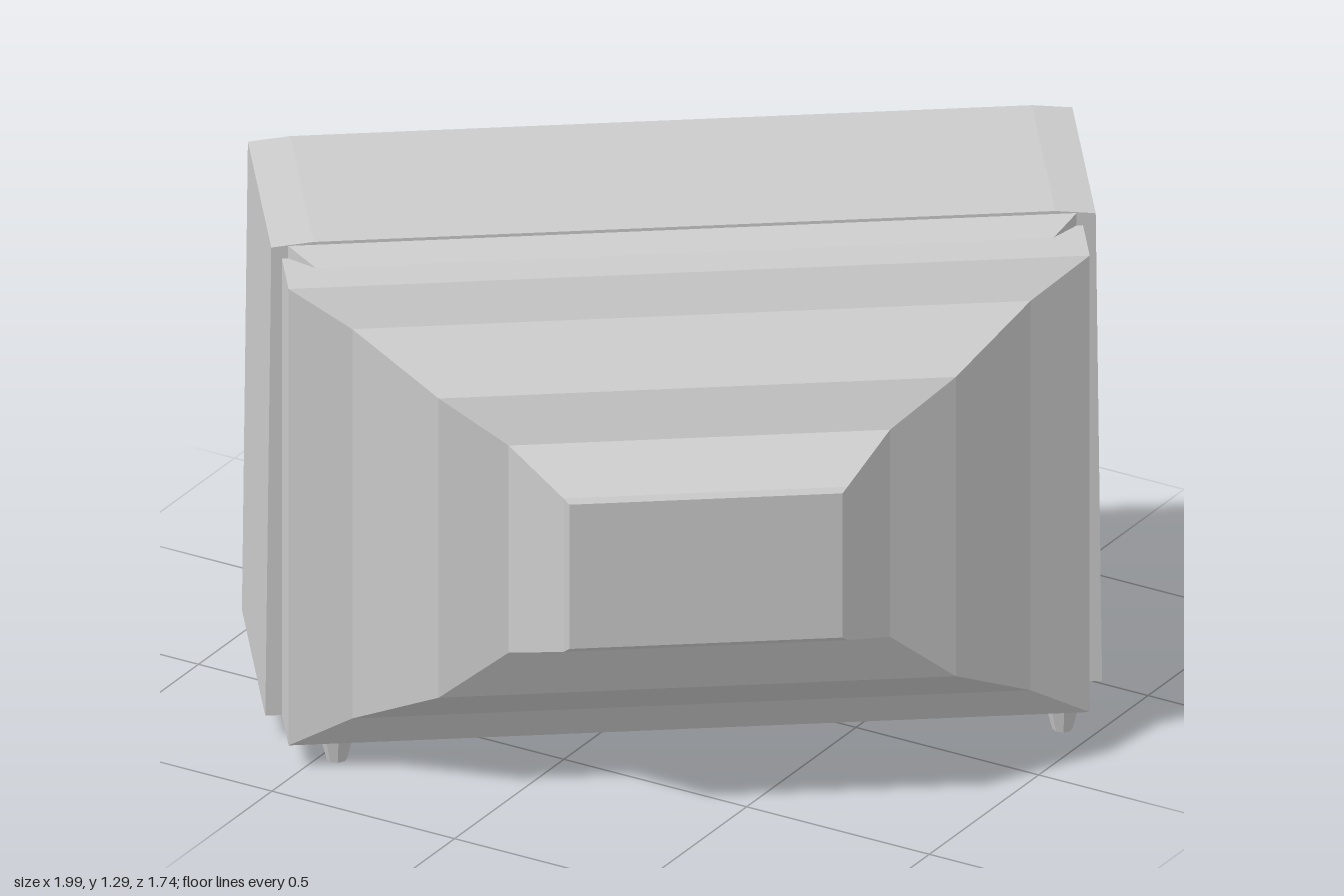
import * as THREE from 'three';

const flat = new THREE.MeshStandardMaterial({ color: 0xcccccc, flatShading: true });
const smooth = new THREE.MeshStandardMaterial({ color: 0xcccccc });

function rectPath(x0, x1, y0, y1, PathType = THREE.Path) {
  return new PathType([[x0, y0], [x1, y0], [x1, y1], [x0, y1]].map(p => new THREE.Vector2(...p)));
}

// Extrudes a shape with holes from z0 to z1
function slab(shape, holes, z0, z1) {
  shape.holes.push(...holes);
  return new THREE.ExtrudeGeometry(shape, { depth: z1 - z0, bevelEnabled: false }).translate(0, 0, z0);
}

// Lofts rectangles [halfWidth, bottom, top, z] in order of rising z
function loftRects(rings) {
  const pos = [];
  const corners = rings.map(([h, y0, y1, z]) => [[-h, y0, z], [h, y0, z], [h, y1, z], [-h, y1, z]]);
  const quad = (a, b, c, d) => [a, b, c, a, c, d].forEach(p => pos.push(...p));
  for (let i = 0; i < corners.length - 1; i++) {
    for (let k = 0; k < 4; k++) {
      const n = (k + 1) % 4;
      quad(corners[i][k], corners[i][n], corners[i + 1][n], corners[i + 1][k]);
    }
  }
  const s = corners[0], e = corners[corners.length - 1];
  quad(s[3], s[2], s[1], s[0]);
  quad(e[0], e[1], e[2], e[3]);
  const g = new THREE.BufferGeometry();
  g.setAttribute('position', new THREE.Float32BufferAttribute(pos, 3));
  g.computeVertexNormals();
  return g;
}

export function createModel() {
  const root = new THREE.Group();
  root.name = 'television';
  const set = new THREE.Group();
  set.name = 'televisionSet';
  set.rotation.y = 0.635; // the set stands turned; its screen faces local -z
  root.add(set);

  const add = (name, geometry, material = flat, parent = set) => {
    const m = new THREE.Mesh(geometry, material);
    m.name = name;
    parent.add(m);
    return m;
  };

  // Cabinet shell with slightly drafted sides and an opening for the front
  const outline = new THREE.Shape([[-0.984, 0.06], [0.99, 0.06], [0.975, 1.28], [0.88, 1.29], [-0.87, 1.29], [-0.97, 1.28]]
    .map(p => new THREE.Vector2(...p)));
  add('cabinetShell', slab(outline, [rectPath(-0.905, 0.905, 0.085, 1.205)], -0.35, 0.225));

  // Sloping ledge behind the shell, then the stepped housing of the tube
  add('rearLedge', loftRects([[0.935, 1.2, 1.285, 0.22], [0.87, 1.2, 1.25, 0.285]]));
  add('rearHousing', loftRects([
    [0.945, 0.06, 1.25, 0.2],
    [0.945, 0.06, 1.25, 0.39],
    [0.8, 0.15, 1.165, 0.445],
    [0.61, 0.265, 1.045, 0.59],
    [0.45, 0.4, 0.94, 0.642],
    [0.335, 0.47, 0.87, 0.795],
    [0.322, 0.482, 0.858, 0.805],
  ]));

  // Front: back plate, rim and panel with openings
  add('frontBackPlate', new THREE.BoxGeometry(1.82, 1.13, 0.04).translate(0, 0.645, -0.305));
  add('bezelRim', slab(rectPath(-0.89, 0.89, 0.1, 1.19, THREE.Shape),
    [rectPath(-0.868, 0.868, 0.122, 1.168)], -0.375, -0.3));
  add('frontPanel', slab(rectPath(-0.87, 0.87, 0.12, 1.17, THREE.Shape),
    [rectPath(-0.51, 0.82, 0.175, 1.13), rectPath(-0.82, -0.6, 0.2, 0.635)], -0.36, -0.3));
  add('screenTrim', slab(rectPath(-0.525, 0.835, 0.16, 1.145, THREE.Shape),
    [rectPath(-0.51, 0.82, 0.175, 1.13)], -0.37, -0.35));

  // Bulging screen, pinned along its edges
  const glass = new THREE.PlaneGeometry(1.33, 0.955, 32, 24);
  const p = glass.attributes.position;
  for (let i = 0; i < p.count; i++) {
    const a = p.getX(i) / 0.665, b = p.getY(i) / 0.4775;
    p.setZ(i, 0.145 * (1 - a * a) * (1 - b * b));
  }
  glass.computeVertexNormals();
  glass.rotateY(Math.PI).translate(0.155, 0.6525, -0.335);
  add('screen', glass, smooth);

  // Controls: raised plate with three knobs, recessed lower door
  add('knobPlate', new THREE.BoxGeometry(0.22, 0.42, 0.04).translate(-0.71, 0.89, -0.365));
  add('lowerDoor', new THREE.BoxGeometry(0.19, 0.405, 0.02).translate(-0.71, 0.4175, -0.33));
  for (const y of [0.79, 0.9, 1.01]) {
    const knob = new THREE.Group();
    knob.name = 'knob';
    knob.position.set(-0.715, y, -0.41);
    set.add(knob);
    add('knobStem', new THREE.CylinderGeometry(0.036, 0.036, 0.04, 16).rotateX(Math.PI / 2).translate(0, 0, 0.015), smooth, knob);
    add('knobCap', new THREE.SphereGeometry(0.047, 20, 14).scale(1, 1, 0.85), smooth, knob);
  }

  // Tapered feet
  for (const x of [-0.827, 0.885]) {
    for (const z of [-0.303, 0.347]) {
      add('foot', new THREE.CylinderGeometry(0.04, 0.024, 0.062, 8).translate(x, 0.031, z));
    }
  }
  return root;
}
